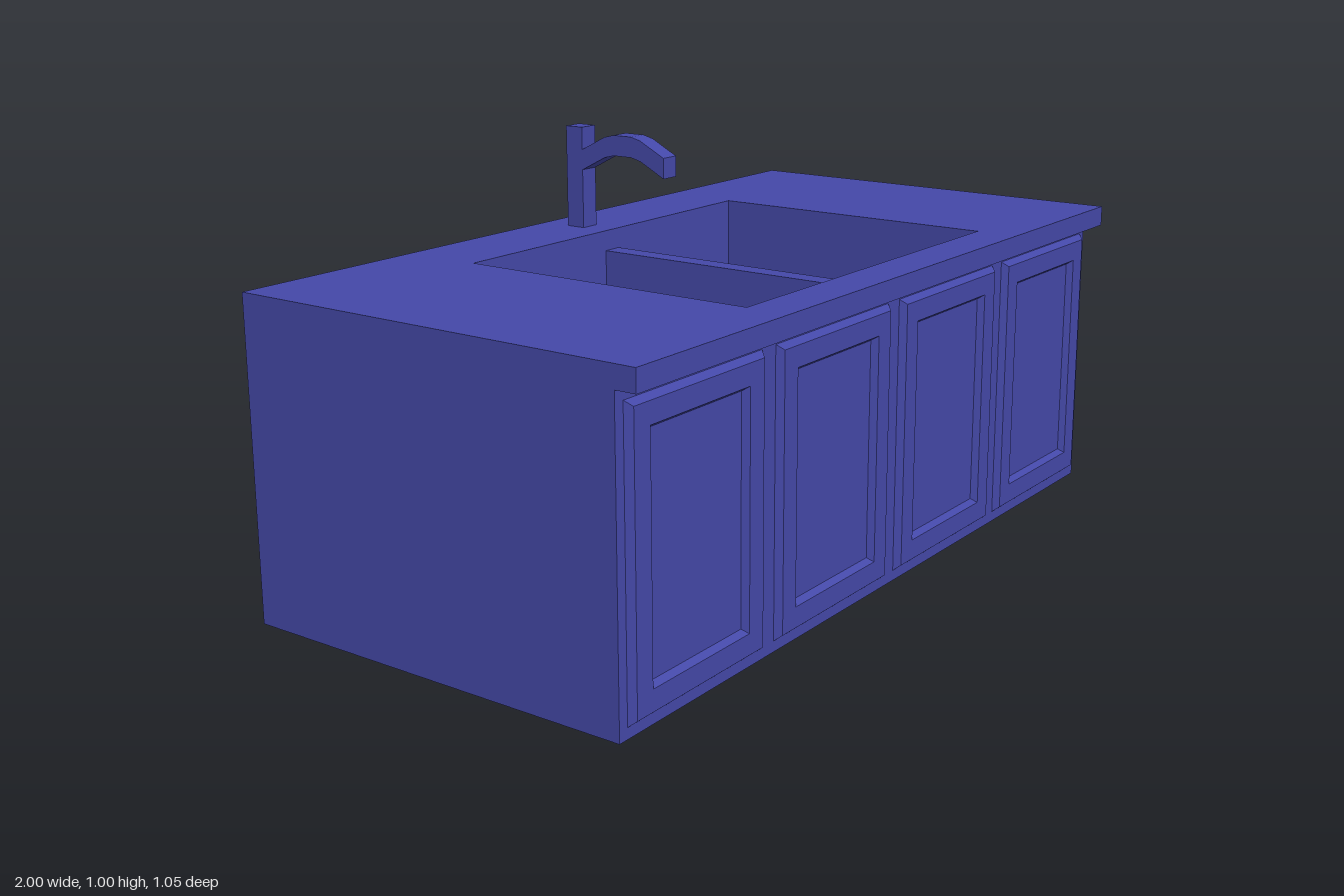
import * as THREE from 'three';

const material = new THREE.MeshStandardMaterial({
  color: 0x4448a8, flatShading: true, side: THREE.DoubleSide,
});

function add(parent, name, geometry, x = 0, y = 0, z = 0) {
  const mesh = new THREE.Mesh(geometry, material);
  mesh.name = name;
  mesh.position.set(x, y, z);
  parent.add(mesh);
  return mesh;
}

// Joins rectangles [halfWidth, halfHeight, centreY, z] into a stepped surface
function loft(rings, capped) {
  const corners = rings.map(([w, h, cy, z]) =>
    [[-w, cy - h, z], [w, cy - h, z], [w, cy + h, z], [-w, cy + h, z]]);
  const points = [];
  const quad = (a, b, c, d) => points.push(...a, ...b, ...c, ...a, ...c, ...d);
  for (let i = 0; i < corners.length - 1; i++) {
    for (let j = 0; j < 4; j++) {
      const k = (j + 1) % 4;
      quad(corners[i][j], corners[i][k], corners[i + 1][k], corners[i + 1][j]);
    }
  }
  if (capped) quad(...corners[corners.length - 1]);
  const geometry = new THREE.BufferGeometry();
  geometry.setAttribute('position', new THREE.Float32BufferAttribute(points, 3));
  geometry.computeVertexNormals();
  return geometry;
}

function rectangle(Type, x0, y0, x1, y1) {
  return new Type([[x0, y0], [x1, y0], [x1, y1], [x0, y1]].map(p => new THREE.Vector2(...p)));
}

export function createModel() {
  const group = new THREE.Group();
  group.name = 'sinkCabinet';
  const doorCentres = [-0.75, -0.25, 0.25, 0.75];

  // Cabinet walls, open underneath
  for (const side of [-1, 1]) {
    add(group, side > 0 ? 'leftWall' : 'rightWall',
      new THREE.PlaneGeometry(1, 0.7).rotateY(side * Math.PI / 2), side, 0.35, -0.025);
  }
  add(group, 'backWall', new THREE.PlaneGeometry(2, 0.7).rotateY(Math.PI), 0, 0.35, -0.525);

  // Front wall with door openings
  const front = rectangle(THREE.Shape, -1, 0, 1, 0.7);
  for (const x of doorCentres) {
    front.holes.push(rectangle(THREE.Path, x - 0.225, 0.025, x + 0.225, 0.675));
  }
  add(group, 'frontWall', new THREE.ShapeGeometry(front), 0, 0, 0.475);

  // Bevelled doors with sunken panels
  const door = loft([
    [0.225, 0.325, 0, 0], [0.213, 0.313, 0, 0.015],
    [0.163, 0.265, 0, 0.015], [0.153, 0.255, 0, 0],
  ], true);
  for (const x of doorCentres) add(group, 'door', door, x, 0.35, 0.475);

  // Countertop with front overhang and sink opening
  const counter = loft([
    [1, 0.5, 0.025, 0.7], [1, 0.525, 0, 0.7], [1, 0.525, 0, 0.75],
    [0.5, 0.375, -0.045, 0.75], [0.5, 0.375, -0.045, 0.7],
  ], false).rotateX(-Math.PI / 2);
  add(group, 'countertop', counter);

  // Two basins and the divider between them
  const basin = loft([
    [0.2375, 0.375, 0, 0.7], [0.2375, 0.375, 0, 0.375],
  ], true).rotateX(-Math.PI / 2);
  for (const side of [-1, 1]) add(group, 'basin', basin, side * 0.2625, 0, 0.045);
  add(group, 'divider', new THREE.PlaneGeometry(0.05, 0.75).rotateX(-Math.PI / 2), 0, 0.7, 0.045);

  // Tap post and arched spout
  const tap = new THREE.Group();
  tap.name = 'tap';
  group.add(tap);
  add(tap, 'post', new THREE.BoxGeometry(0.05, 0.25, 0.05), 0, 0.875, -0.425);
  const arch = [[-0.4, 0.945], [-0.33, 0.981], [-0.302, 0.988],
    [-0.248, 0.988], [-0.22, 0.981], [-0.15, 0.945]];
  const outline = [...arch, ...arch.map(([z, y]) => [z, y - 0.05]).reverse()];
  const spout = new THREE.ExtrudeGeometry(
    new THREE.Shape(outline.map(([z, y]) => new THREE.Vector2(-z, y))),
    { depth: 0.05, bevelEnabled: false });
  spout.translate(0, 0, -0.025).rotateY(Math.PI / 2);
  add(tap, 'spout', spout);

  return group;
}
